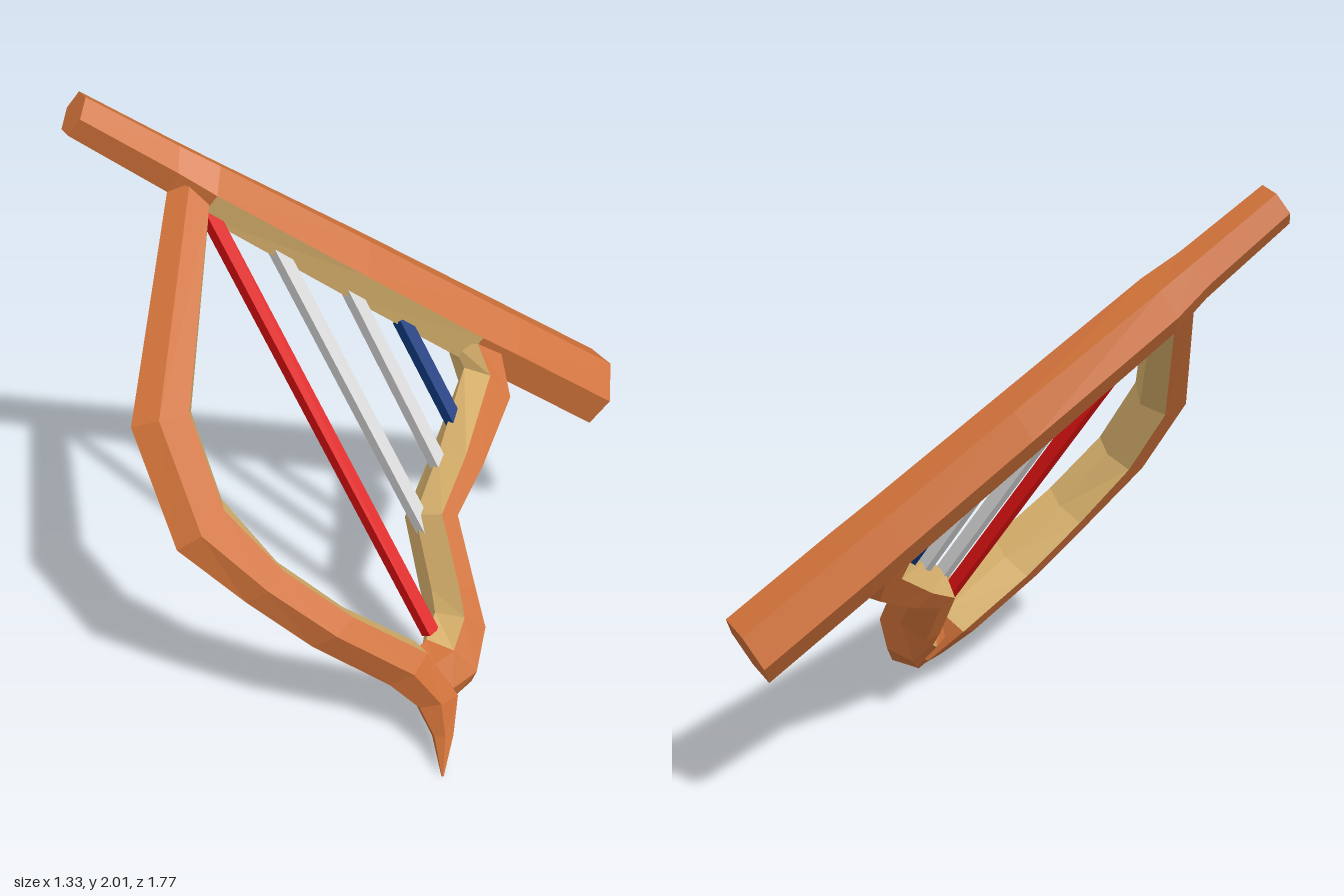
import * as THREE from 'three';

// The harp lies in a leaning plane: x follows y, and NORMAL points out of its near side.
const NORMAL = new THREE.Vector3(0.84, 0.542, 0);
const planePoint = (z, y, t = 0) =>
  new THREE.Vector3(-0.6 + 0.645 * (1.95 - y), y, z).addScaledVector(NORMAL, t);

// Hexagon corners: [fraction from inner to outer edge, side]
const HEX = [[0, 0], [0.25, 1], [0.75, 1], [1, 0], [0.75, -1], [0.25, -1]];

// Hexagonal beam through stations [outerZ, outerY, innerZ, innerY, halfThickness];
// the two inward faces of segments tanFrom..tanTo-1 take the second material.
function beam(name, stations, tanFrom, tanTo, materials) {
  const rings = stations.map(([oz, oy, iz, iy, h]) =>
    HEX.map(([f, s]) => planePoint(iz + (oz - iz) * f, iy + (oy - iy) * f, s * h)));
  const wood = [], tan = [];
  for (let i = 0; i < rings.length - 1; i++) {
    for (let k = 0; k < 6; k++) {
      const n = (k + 1) % 6;
      const a = rings[i][k], b = rings[i][n], c = rings[i + 1][n], d = rings[i + 1][k];
      const inward = (k === 0 || k === 5) && i >= tanFrom && i < tanTo;
      (inward ? tan : wood).push([a, b, c], [a, c, d]);
    }
  }
  const last = rings[rings.length - 1];
  for (let k = 1; k < 5; k++) {
    wood.push([rings[0][0], rings[0][k + 1], rings[0][k]]);
    wood.push([last[0], last[k], last[k + 1]]);
  }
  // Turn all faces outward
  const tris = [...wood, ...tan];
  const volume = tris.reduce((v, [a, b, c]) => v + a.dot(b.clone().cross(c)), 0);
  if (volume < 0) tris.forEach((t) => t.reverse());

  const geometry = new THREE.BufferGeometry().setFromPoints(tris.flat());
  geometry.addGroup(0, wood.length * 3, 0);
  geometry.addGroup(wood.length * 3, tan.length * 3, 1);
  geometry.computeVertexNormals();
  const mesh = new THREE.Mesh(geometry, materials);
  mesh.name = name;
  return mesh;
}

// Four-sided string between two points of the plane
function harpString(name, top, bottom, material) {
  const a = planePoint(...top), b = planePoint(...bottom);
  const dir = a.clone().sub(b);
  const geometry = new THREE.CylinderGeometry(0.03, 0.03, dir.length(), 4).toNonIndexed();
  geometry.rotateY(Math.PI / 4);
  geometry.computeVertexNormals();
  const up = dir.clone().normalize();
  const side = new THREE.Vector3().crossVectors(up, NORMAL).normalize();
  const out = new THREE.Vector3().crossVectors(side, up);
  const mesh = new THREE.Mesh(geometry, material);
  mesh.quaternion.setFromRotationMatrix(new THREE.Matrix4().makeBasis(side, up, out));
  mesh.position.copy(a).add(b).multiplyScalar(0.5);
  mesh.name = name;
  return mesh;
}

export function createModel() {
  const paint = (name, color) => {
    const m = new THREE.MeshStandardMaterial({ color, flatShading: true });
    m.name = name;
    return m;
  };
  const wood = paint('orangeWood', 0xd2733a);
  const tan = paint('paleWood', 0xdfb770);
  const red = paint('redString', 0xdd1111);
  const white = paint('whiteString', 0xd6d6d6);
  const blue = paint('blueString', 0x103a80);
  const frame = [wood, tan];

  const group = new THREE.Group();
  group.name = 'harp';

  // Straight top bar, thicker toward the rear
  group.add(beam('topBar', [
    [0.60, 2.00, 0.69, 1.91, 0.062],
    [0.38, 1.82, 0.46, 1.70, 0.07],
    [0.28, 1.74, 0.38, 1.61, 0.085],
    [-0.13, 1.42, -0.01, 1.26, 0.09],
    [-0.48, 1.14, -0.34, 0.97, 0.095],
    [-0.58, 1.06, -0.45, 0.88, 0.098],
    [-0.88, 0.82, -0.75, 0.63, 0.10],
  ], 2, 4, frame));

  // Bowed front pillar, ending in a curled tip
  group.add(beam('frontPillar', [
    [0.44, 1.72, 0.36, 1.60, 0.065],
    [0.87, 1.21, 0.67, 1.18, 0.078],
    [0.89, 0.89, 0.69, 0.95, 0.08],
    [0.75, 0.69, 0.60, 0.74, 0.085],
    [0.60, 0.50, 0.45, 0.55, 0.095],
    [0.40, 0.30, 0.25, 0.36, 0.095],
    [0.33, 0.20, 0.19, 0.19, 0.07],
    [0.32, 0.11, 0.26, 0.09, 0.035],
    [0.352, 0.005, 0.345, 0.005, 0.004],
  ], 0, 5, frame));

  // Wavy lower arm that holds the string ends
  group.add(beam('lowerArm', [
    [-0.47, 0.92, -0.32, 1.03, 0.08],
    [-0.42, 0.79, -0.33, 0.95, 0.085],
    [-0.20, 0.68, -0.11, 0.78, 0.10],
    [-0.04, 0.61, 0.07, 0.66, 0.10],
    [0.00, 0.43, 0.12, 0.46, 0.105],
    [0.02, 0.29, 0.14, 0.40, 0.10],
    [0.11, 0.18, 0.21, 0.35, 0.085],
    [0.21, 0.17, 0.27, 0.34, 0.06],
  ], 0, 6, frame));

  // Strings
  [
    ['longString', [0.355, 1.62], [0.185, 0.36], red],
    ['secondString', [0.175, 1.46], [0.055, 0.60], white],
    ['thirdString', [-0.02, 1.30], [-0.09, 0.74], white],
    ['shortString', [-0.165, 1.15], [-0.215, 0.80], blue],
  ].forEach((s) => group.add(harpString(...s)));

  return group;
}
